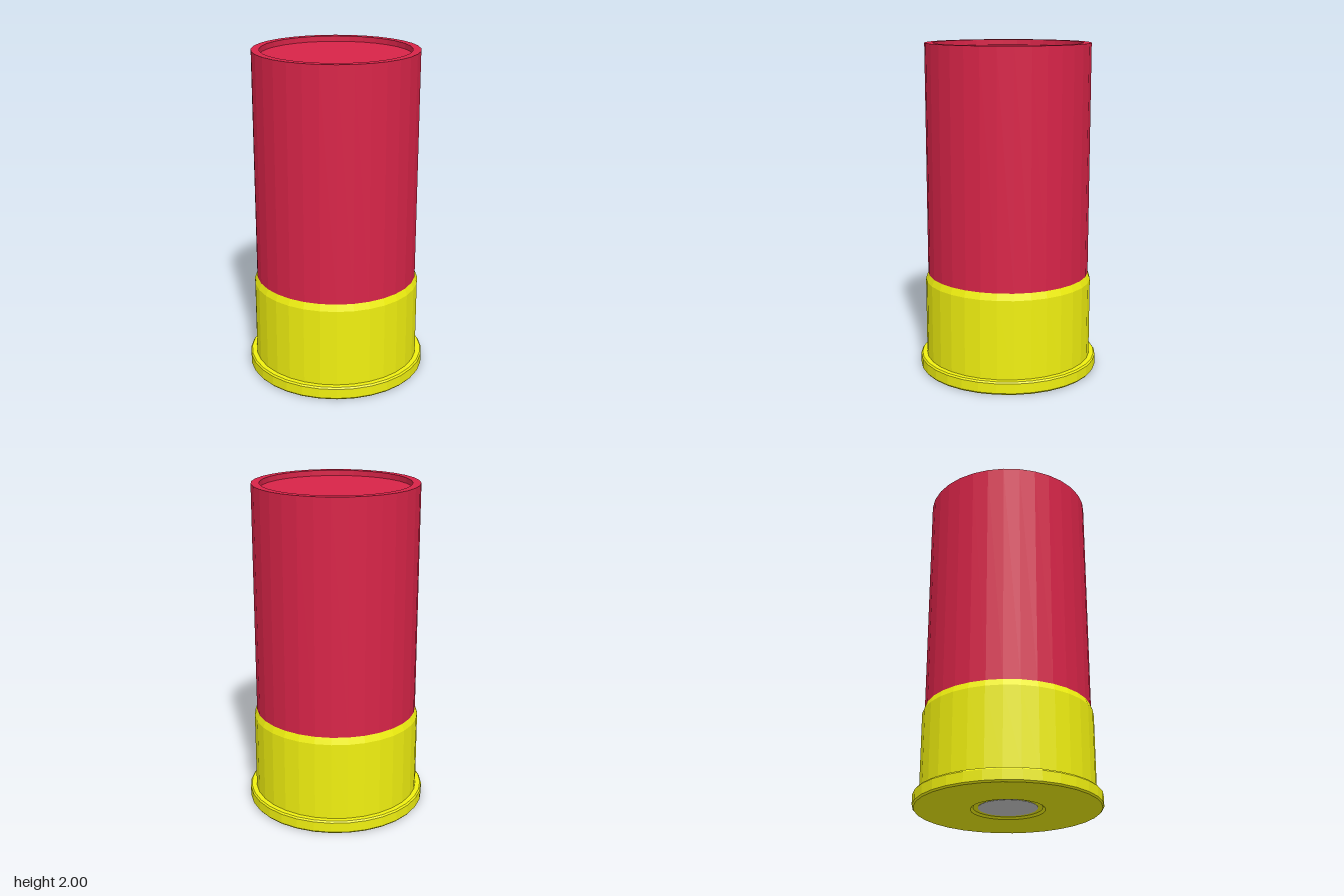
import * as THREE from 'three';

const SIDES = 32;

// Turned part from a profile of [radius, height], listed from the underside up and over
function turned(name, color, profile) {
  const points = profile.map(([r, y]) => new THREE.Vector2(r, y));
  const material = new THREE.MeshStandardMaterial({ color, flatShading: true });
  const mesh = new THREE.Mesh(new THREE.LatheGeometry(points, SIDES), material);
  mesh.name = name;
  return mesh;
}

export function createModel() {
  const group = new THREE.Group();
  group.name = 'cartridge';

  // Tube with a raised lip around a sunken closing disc
  group.add(turned('hull', 0xd82448, [
    [0.495, 0.58], [0.495, 2], [0.447, 2], [0.447, 1.967], [0, 1.967],
  ]));

  // Metal base: primer recess, bevelled flange, wall and tapered mouth
  group.add(turned('metalBase', 0xf0f010, [
    [0.172, 0.012], [0.2, 0.012], [0.215, 0], [0.54, 0],
    [0.548, 0.01], [0.548, 0.07], [0.54, 0.08], [0.51, 0.08],
    [0.51, 0.56], [0.495, 0.6],
  ]));

  // Primer cap set into the underside
  group.add(turned('primer', 0xcccccc, [
    [0, 0.01], [0.172, 0.01], [0.172, 0.03],
  ]));

  return group;
}
